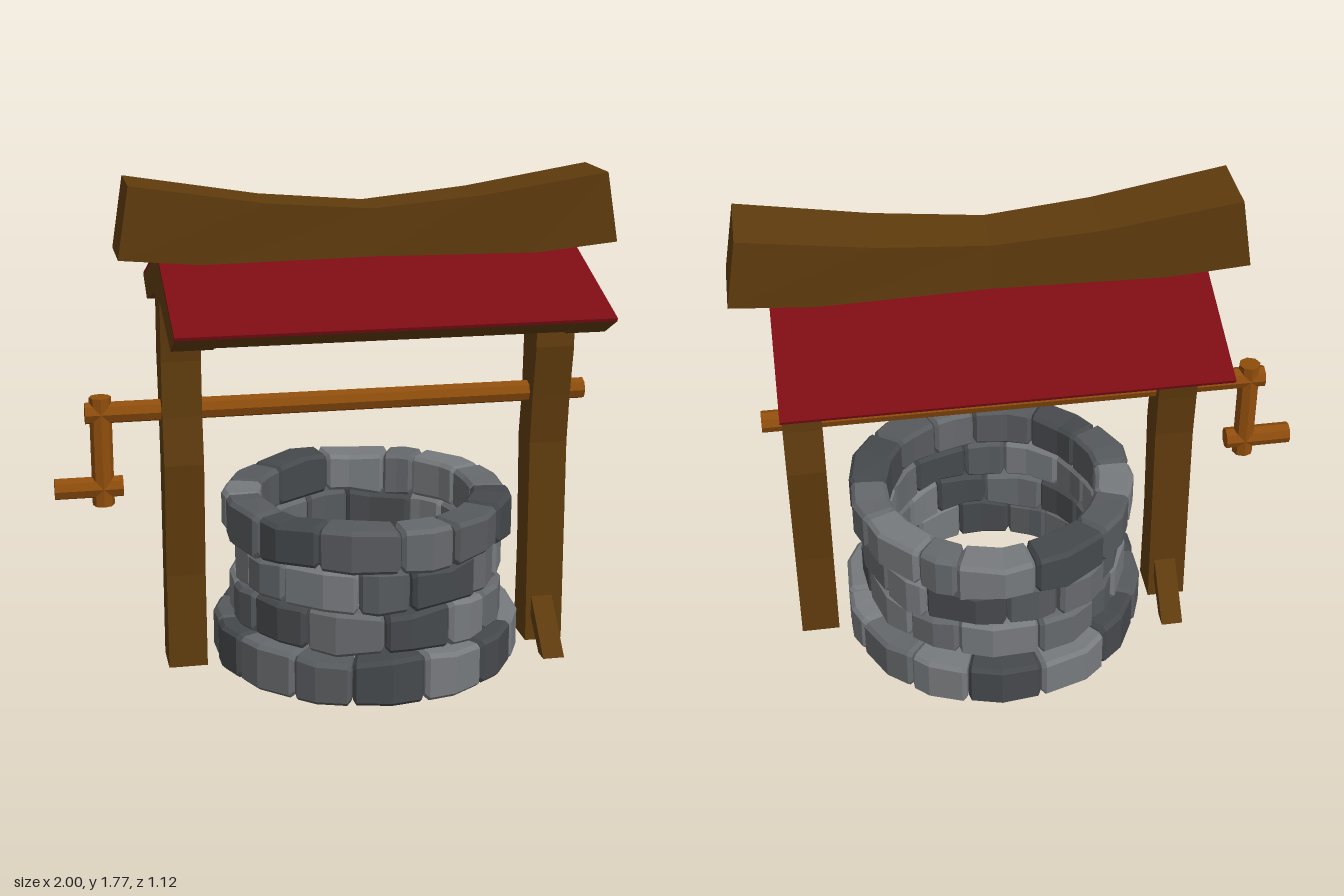
import * as THREE from 'three';

const CX = 0.12, CZ = 0.01; // centre of the well
const mat = (color) => new THREE.MeshStandardMaterial({ color, flatShading: true, roughness: 0.9 });

// Small seeded generator
function seeded(seed) {
  let s = seed;
  return () => (s = (s * 16807) % 2147483647) / 2147483647;
}

// Skin a row of equal-length closed loops and cap both ends
function loft(loops) {
  const tris = [];
  const n = loops[0].length;
  for (let i = 0; i < loops.length - 1; i++) {
    for (let j = 0; j < n; j++) {
      const k = (j + 1) % n;
      const a = loops[i][j], b = loops[i][k], c = loops[i + 1][k], d = loops[i + 1][j];
      tris.push([a, b, c], [a, c, d]);
    }
  }
  const last = loops[loops.length - 1];
  for (let j = 1; j < n - 1; j++) {
    tris.push([loops[0][0], loops[0][j + 1], loops[0][j]]);
    tris.push([last[0], last[j], last[j + 1]]);
  }
  // A negative volume means the faces point inward
  let volume = 0;
  for (const [a, b, c] of tris) volume += a.dot(b.clone().cross(c));
  const pos = [];
  for (const [a, b, c] of tris) {
    for (const p of volume < 0 ? [a, c, b] : [a, b, c]) pos.push(p.x, p.y, p.z);
  }
  const g = new THREE.BufferGeometry();
  g.setAttribute('position', new THREE.Float32BufferAttribute(pos, 3));
  g.computeVertexNormals();
  return g;
}

const V = (x, y, z) => new THREE.Vector3(x, y, z);

// Prism along x from a (z, y) outline
const prism = (outline, x0, x1) =>
  loft([x0, x1].map((x) => outline.map(([z, y]) => V(x, y, z))));

function add(parent, name, geometry, material) {
  const mesh = new THREE.Mesh(geometry, material);
  mesh.name = name;
  parent.add(mesh);
  return mesh;
}

// One chamfered stone following the ring between two angles
function stone(a0, a1, rIn, rOut, bottom, top, rand) {
  const bevel = 0.014;
  const da = bevel / rOut;
  const bulge = (rand() - 0.5) * 0.024;
  const mid = a0 + (a1 - a0) * (0.35 + rand() * 0.3);
  const stations = [[a0, 1], [a0 + da, 0], [mid, 0], [a1 - da, 0], [a1, 1]];
  return loft(stations.map(([a, end]) => {
    const e = end * bevel;
    const ro = rOut + bulge + (a === mid ? 0.01 : 0) - e;
    const ri = rIn + e;
    const y0 = bottom(a) + e, y1 = top(a) - e;
    const section = [
      [ri + bevel, y0], [ro - bevel, y0], [ro, y0 + bevel], [ro, y1 - bevel],
      [ro - bevel, y1], [ri + bevel, y1], [ri, y1 - bevel], [ri, y0 + bevel],
    ];
    return section.map(([r, y]) => V(r * Math.cos(a), y, r * Math.sin(a)));
  }));
}

function createWall() {
  const wall = new THREE.Group();
  wall.name = 'stoneWall';
  wall.position.set(CX, 0, 0);
  const rand = seeded(4711);
  const greys = [0x46494c, 0x575a5d, 0x66696c, 0x777a7d].map(mat);
  // Wavy joint between courses
  const joint = (y, amp, p) => (a) => y + amp * (Math.sin(5 * a + p) + 0.6 * Math.sin(8 * a + 2 * p));
  const levels = [
    joint(0.01, 0, 0), joint(0.176, 0.008, 1), joint(0.328, 0.008, 2.3),
    joint(0.48, 0.008, 4), joint(0.633, 0.006, 5.2),
  ];
  const courses = [
    { rIn: 0.4, rOut: 0.555, count: 14 },
    { rIn: 0.385, rOut: 0.492, count: 13 },
    { rIn: 0.385, rOut: 0.49, count: 13 },
    { rIn: 0.385, rOut: 0.515, count: 13 },
  ];
  courses.forEach(({ rIn, rOut, count }, row) => {
    const step = (Math.PI * 2) / count;
    const cuts = [];
    for (let i = 0; i < count; i++) cuts.push((i + row * 0.45 + (rand() - 0.5) * 0.4) * step);
    cuts.push(cuts[0] + Math.PI * 2);
    let shade = 0;
    for (let i = 0; i < count; i++) {
      shade = (shade + 1 + Math.floor(rand() * 3)) % 4;
      const g = stone(cuts[i] + 0.004, cuts[i + 1] - 0.004, rIn, rOut,
        levels[row], levels[row + 1], rand);
      add(wall, 'stone', g, greys[shade]);
    }
  });
  return wall;
}

// Crooked post with its foot brace and pair of rafters, at half the span from the centre
function createSupport(wood) {
  const side = new THREE.Group();
  side.name = 'support';
  const x0 = 0.6, x1 = 0.74;
  const profile = [ // y, back z, front z
    [0.01, -0.07, 0.075], [0.36, -0.062, 0.065], [0.78, -0.085, 0.055],
    [0.95, -0.06, 0.07], [1.15, -0.055, 0.1], [1.42, -0.078, 0.078],
  ];
  add(side, 'post', loft(profile.map(([y, b, f]) =>
    [V(x0, y, b), V(x1, y, b), V(x1, y, f), V(x0, y, f)])), wood);
  add(side, 'footBrace',
    prism([[0.24, 0.003], [0.18, 0.003], [0.05, 0.125], [0.05, 0.205]], x0 + 0.02, x1 - 0.04), wood);
  add(side, 'rafters', prism([
    [0, 1.39], [0.075, 1.39], [0.41, 1.275], [0.528, 1.338], [0, 1.525],
  ], x0, x1), wood);
  add(side, 'rafters', prism([
    [0, 1.39], [-0.075, 1.39], [-0.41, 1.275], [-0.528, 1.338], [0, 1.525],
  ], x0, x1), wood);
  return side;
}

function createRoof(wood, red) {
  const roof = new THREE.Group();
  roof.name = 'roof';
  roof.position.z = CZ;
  for (const s of [1, -1]) {
    add(roof, 'roofPanel', prism([
      [0, 1.525], [s * 0.528, 1.338], [s * 0.532, 1.349], [0, 1.538],
    ], -0.62, 0.86), red);
    add(roof, 'eaveBeam', prism([
      [s * 0.41, 1.28], [s * 0.522, 1.338], [s * 0.41, 1.377],
    ], -0.48, 0.72), wood);
  }
  // Sagging ridge beam: bottom x, y, top x, y, half width
  const ridge = [
    [-0.76, 1.525, -0.72, 1.775, 0.125], [-0.45, 1.495, -0.25, 1.7, 0.113],
    [0.12, 1.503, 0.12, 1.67, 0.1], [0.68, 1.495, 0.5, 1.705, 0.113],
    [0.995, 1.528, 0.952, 1.775, 0.125],
  ];
  add(roof, 'ridgeBeam', loft(ridge.map(([bx, by, tx, ty, w]) =>
    [V(bx, by, -w), V(bx, by, w), V(tx, ty, w), V(tx, ty, -w)])), wood);
  return roof;
}

function createCrank(material) {
  const crank = new THREE.Group();
  crank.name = 'crank';
  crank.position.z = CZ;
  const rod = (name, length, x, y, upright) => {
    const g = new THREE.CylinderGeometry(0.039, 0.039, length, 8);
    if (!upright) g.rotateZ(Math.PI / 2);
    add(crank, name, g, material).position.set(x, y, 0);
  };
  rod('axle', 1.815, 0.0225, 0.965, false);
  rod('crankArm', 0.395, -0.83, 0.825, true);
  rod('crankHandle', 0.24, -0.88, 0.693, false);
  return crank;
}

export function createModel() {
  const well = new THREE.Group();
  well.name = 'well';
  const wood = mat(0x5f3b0d);
  const red = mat(0x7d0d14);
  well.add(createWall());
  // The second support is the first turned half round
  for (const turn of [0, Math.PI]) {
    const support = createSupport(wood);
    support.position.set(CX, 0, CZ);
    support.rotation.y = turn;
    well.add(support);
  }
  well.add(createRoof(wood, red), createCrank(mat(0x8f4d0c)));
  return well;
}
